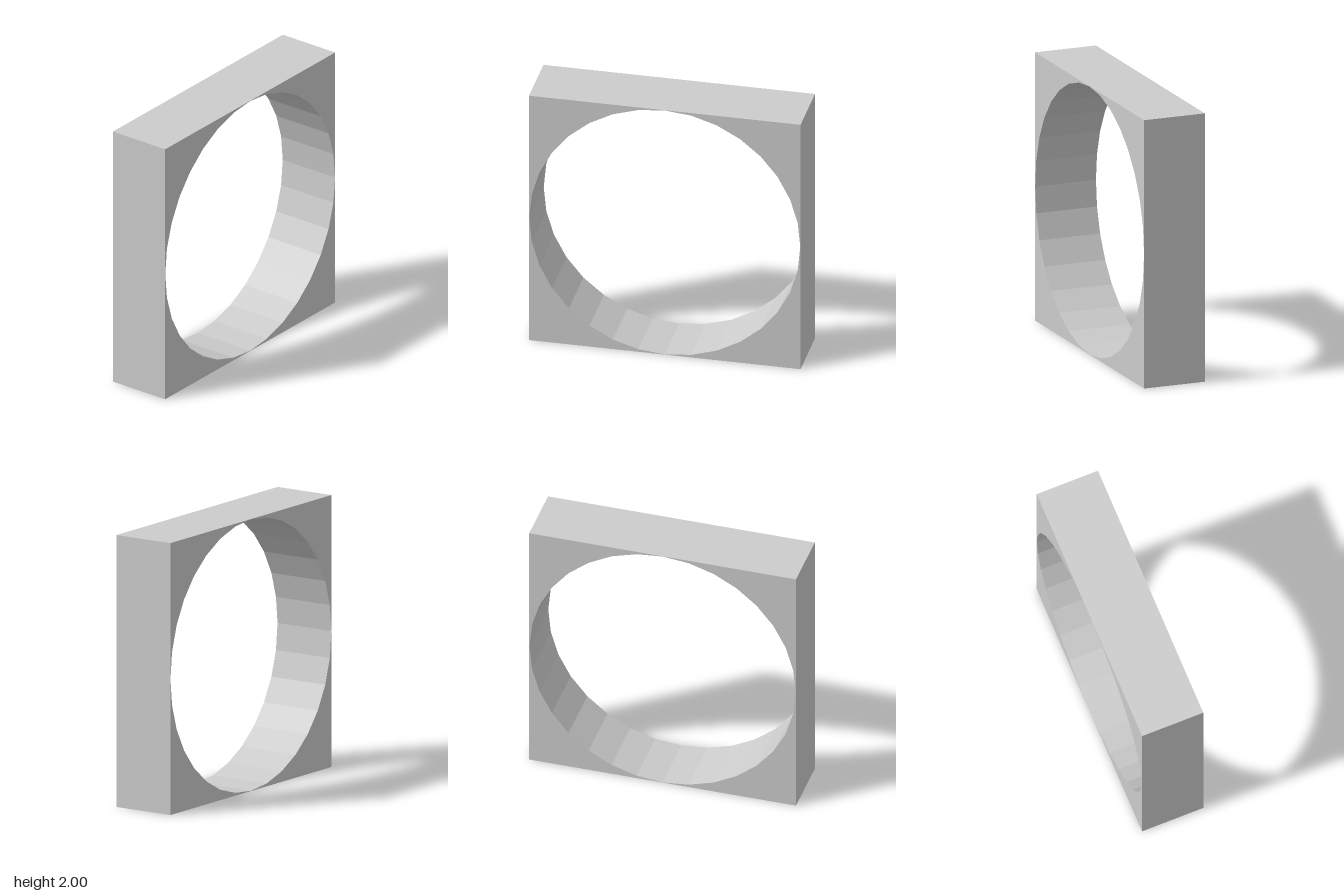
import * as THREE from 'three';

const HALF = 1;          // half width of the square block
const DEPTH = 0.475;     // thickness along z
const RADIUS = 0.998;    // bore almost touches the four outer faces
const SIDES = 32;

export function createModel() {
  const group = new THREE.Group();
  group.name = 'squareFrame';

  // Square outline
  const outline = new THREE.Shape([
    new THREE.Vector2(-HALF, -HALF),
    new THREE.Vector2(HALF, -HALF),
    new THREE.Vector2(HALF, HALF),
    new THREE.Vector2(-HALF, HALF),
  ]);

  // Faceted round bore, with corners on the axes
  const bore = [];
  for (let i = 0; i < SIDES; i++) {
    const a = (-i / SIDES) * Math.PI * 2;
    bore.push(new THREE.Vector2(Math.cos(a) * RADIUS, Math.sin(a) * RADIUS));
  }
  outline.holes.push(new THREE.Path(bore));

  const geometry = new THREE.ExtrudeGeometry(outline, { depth: DEPTH, bevelEnabled: false });
  geometry.translate(0, HALF, -DEPTH / 2);

  const block = new THREE.Mesh(
    geometry,
    new THREE.MeshStandardMaterial({ color: 0xcccccc, flatShading: true }),
  );
  block.name = 'boredBlock';
  group.add(block);
  return group;
}
